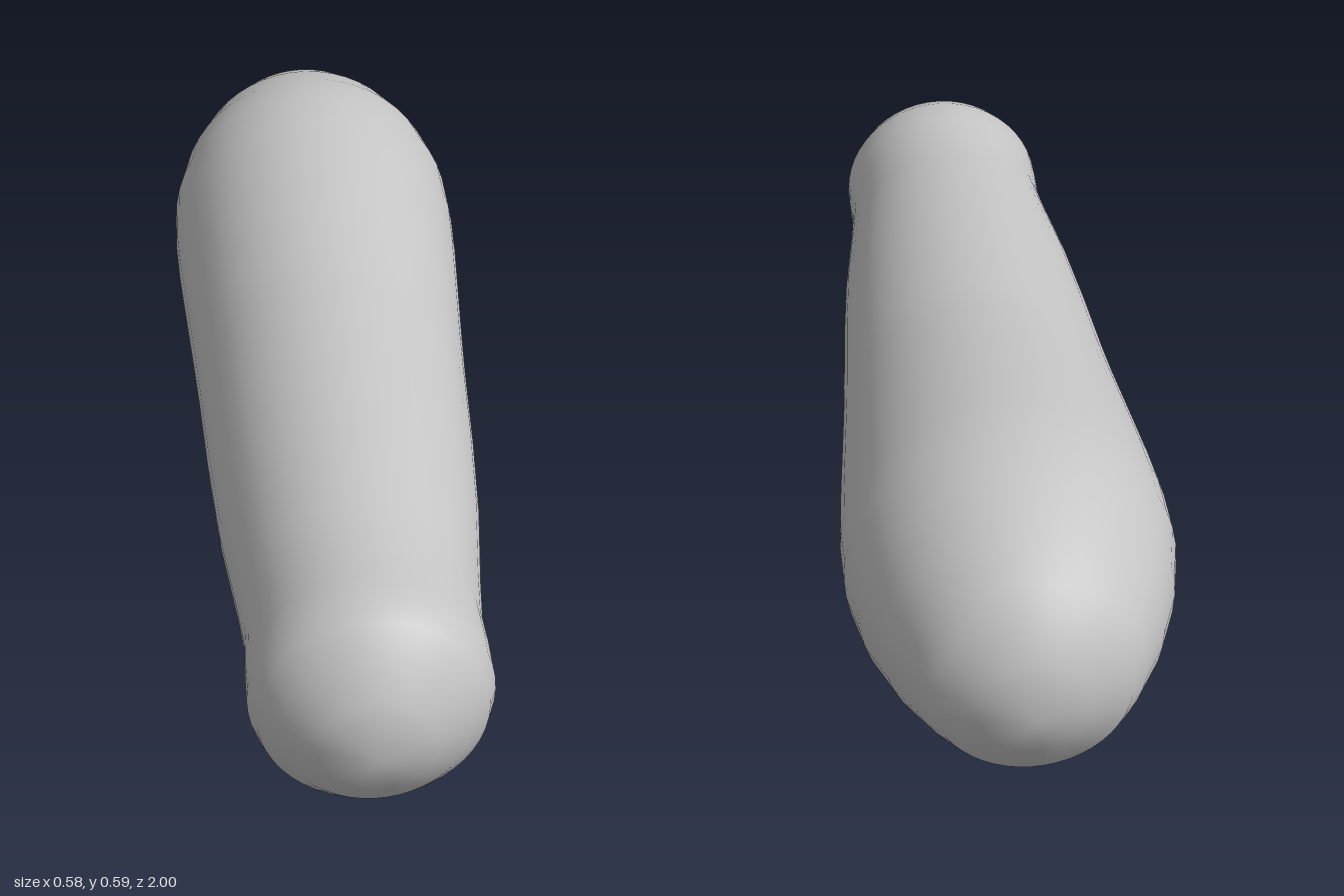
import * as THREE from 'three';

// Cross-sections from front to back: z, bottom y, top y, half width
const SECTIONS = [
  [0.96, 0.145, 0.335, 0.10],
  [0.92, 0.085, 0.395, 0.155],
  [0.88, 0.048, 0.432, 0.192],
  [0.84, 0.036, 0.447, 0.206],
  [0.78, 0.037, 0.448, 0.206],
  [0.70, 0.040, 0.444, 0.203],
  [0.60, 0.032, 0.453, 0.212],
  [0.40, 0.010, 0.477, 0.234],
  [0.20, 0.003, 0.496, 0.248],
  [0.00, 0.002, 0.515, 0.258],
  [-0.10, 0.002, 0.527, 0.264],
  [-0.25, 0.002, 0.551, 0.274],
  [-0.40, 0.003, 0.574, 0.284],
  [-0.50, 0.010, 0.587, 0.288],
  [-0.60, 0.024, 0.592, 0.286],
  [-0.70, 0.050, 0.575, 0.267],
  [-0.80, 0.092, 0.541, 0.233],
  [-0.88, 0.132, 0.504, 0.193],
  [-0.925, 0.157, 0.478, 0.163],
  [-0.96, 0.225, 0.408, 0.094],
];
const SIDES = 48;

// Elliptical rings skinned together, closed by a pointed pole at each end
function loft(sections, frontTip, backTip) {
  const pos = [];
  const index = [];
  for (const [z, bottom, top, half] of sections) {
    for (let j = 0; j < SIDES; j++) {
      const a = (j / SIDES) * Math.PI * 2;
      pos.push(half * Math.cos(a), (top + bottom) / 2 + ((top - bottom) / 2) * Math.sin(a), z);
    }
  }
  const front = sections.length * SIDES;
  const back = front + 1;
  const last = front - SIDES;
  pos.push(...frontTip, ...backTip);
  for (let j = 0; j < SIDES; j++) {
    const k = (j + 1) % SIDES;
    index.push(front, j, k);
    for (let r = 0; r < last; r += SIDES) {
      index.push(r + j, r + SIDES + j, r + k, r + k, r + SIDES + j, r + SIDES + k);
    }
    index.push(back, last + k, last + j);
  }
  const geometry = new THREE.BufferGeometry();
  geometry.setAttribute('position', new THREE.Float32BufferAttribute(pos, 3));
  geometry.setIndex(index);
  geometry.computeVertexNormals();
  return geometry;
}

export function createModel() {
  const group = new THREE.Group();
  group.name = 'taperedCapsule';
  const grey = new THREE.MeshStandardMaterial({ color: 0xc4c4c4 });
  grey.name = 'light grey';

  const body = new THREE.Mesh(loft(SECTIONS, [0, 0.24, 1], [0, 0.32, -1]), grey);
  body.name = 'body';
  group.add(body);
  return group;
}
